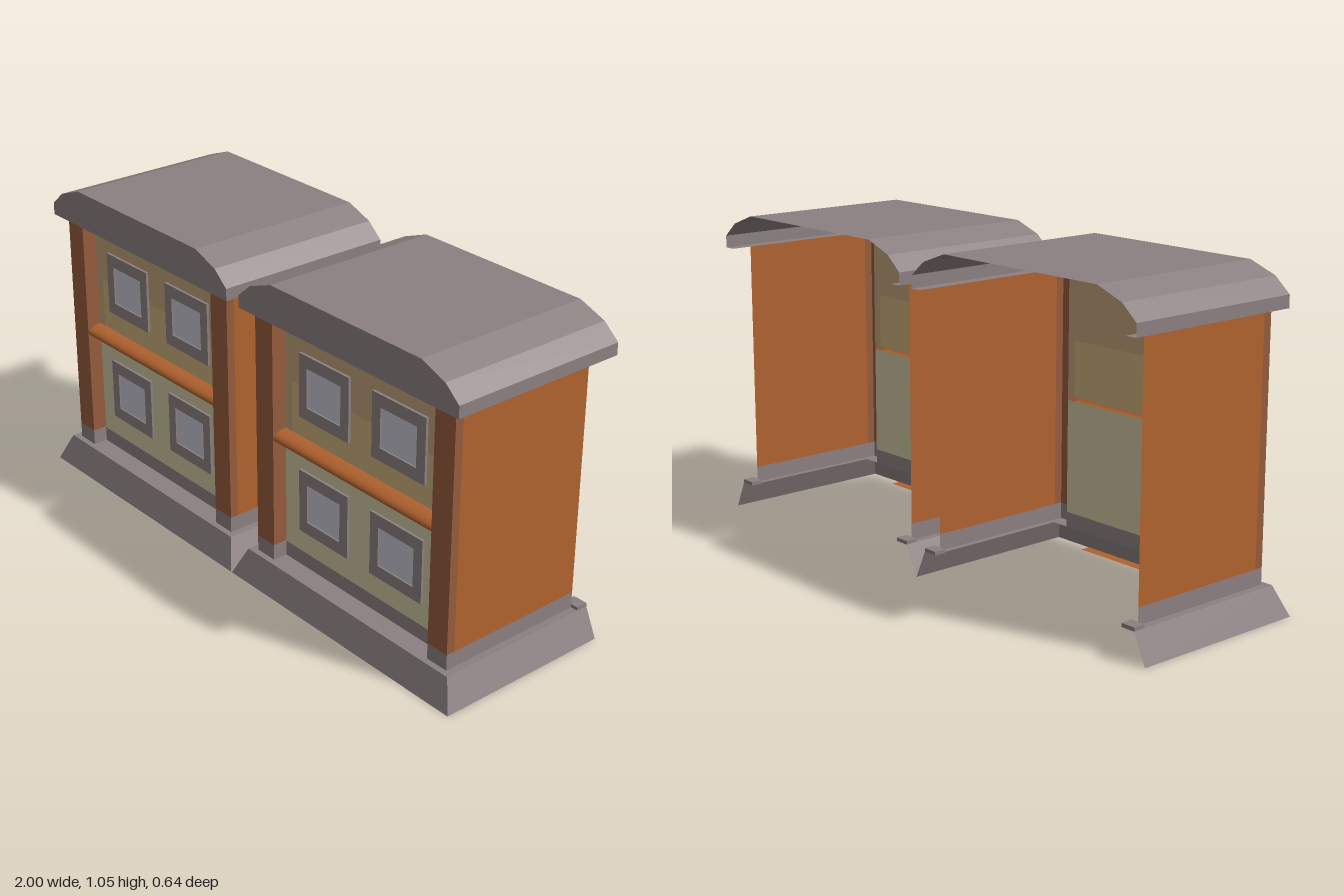
import * as THREE from 'three';

const mat = (name, color) => new THREE.MeshStandardMaterial({ name, color, side: THREE.DoubleSide });

// Flat-shaded sheet stretched between two matching polylines.
function ribbon(a, b) {
  const pos = [];
  for (let i = 0; i < a.length - 1; i++) {
    pos.push(...a[i], ...b[i], ...b[i + 1], ...a[i], ...b[i + 1], ...a[i + 1]);
  }
  const g = new THREE.BufferGeometry();
  g.setAttribute('position', new THREE.Float32BufferAttribute(pos, 3));
  g.computeVertexNormals();
  return g;
}

// Upright sheet facing the front.
function panel(x0, x1, y0, y1, z) {
  return new THREE.PlaneGeometry(x1 - x0, y1 - y0).translate((x0 + x1) / 2, (y0 + y1) / 2, z);
}

export function createModel() {
  const stone = mat('stoneGrey', 0x8c8081);
  const orange = mat('orangeBrick', 0xb1622f);
  const brown = mat('pillarBrown', 0x955b3d);
  const tan = mat('shadedTan', 0xbda077);
  const sand = mat('sand', 0xcaae7a);
  const cream = mat('paleCream', 0xcbc59f);
  const glass = mat('windowGlass', 0xc2c3ce);

  const WALL = 0.215, FRONT = 0.265, BACK = -0.25, LOW = 0.095, BAND = 0.148, EAVE = 0.925;

  function createUnit() {
    const unit = new THREE.Group();
    const add = (name, geo, material) => {
      const m = new THREE.Mesh(geo, material);
      m.name = name;
      unit.add(m);
      return m;
    };

    // Sloped skirt, open at the back and underneath, with a narrow ledge on top
    const ring = (x, y, zf, zb) => [[-x, y, zb], [-x, y, zf], [x, y, zf], [x, y, zb]];
    const foot = ring(0.498, 0, 0.32, -0.29);
    const shoulder = ring(0.455, LOW, 0.285, -0.29);
    add('baseSkirt', ribbon(foot, shoulder), stone);
    add('baseLedge', ribbon(shoulder, ring(0.41, LOW, WALL, -0.29)), stone);
    add('baseUnderStrip', new THREE.PlaneGeometry(0.7, 0.035).rotateX(-Math.PI / 2)
      .translate(0, 0.002, 0.3), orange);

    for (const s of [-1, 1]) {
      // Side wall, with a stone band at the bottom
      const side = (y0, y1, z0, z1) => ribbon(
        [[s * 0.43, y0, z0], [s * 0.43, y0, z1]], [[s * 0.43, y1, z0], [s * 0.43, y1, z1]]);
      add('sideWall', side(BAND, EAVE, BACK, 0.237), orange);
      add('sideWallBand', side(LOW, BAND, BACK, 0.237), stone);

      // Folded corner pillar returning to the recessed front wall
      const fold = (y) => [[0.43, 0.237], [0.43, FRONT], [0.35, FRONT], [0.35, WALL]]
        .map(([x, z]) => [s * x, y, z]);
      add('pillar', ribbon(fold(BAND), fold(EAVE)), brown);
      add('pillarBand', ribbon(fold(LOW), fold(BAND)), stone);

      // Small block closing the ledge behind the wall
      add('ledgeEnd', new THREE.BoxGeometry(0.05, 0.012, 0.04)
        .translate(s * 0.43, 0.1, -0.27), stone);

      // Tan edge strips beside the sand field
      add('wallEdge', panel(s > 0 ? 0.32 : -0.35, s > 0 ? 0.35 : -0.32, 0.53, 0.715, WALL), tan);

      // Eave underside
      add('eaveUnderside', ribbon(
        [[s * 0.47, EAVE, 0.295], [s * 0.47, EAVE, -0.32]],
        [[s * 0.43, EAVE, 0.295], [s * 0.43, EAVE, -0.32]]), stone);

      // Framed windows on both floors
      for (const y of [0.33, 0.722]) {
        const x = s * 0.1625;
        const frame = new THREE.Shape();
        frame.moveTo(-0.112, -0.106).lineTo(0.112, -0.106).lineTo(0.112, 0.106).lineTo(-0.112, 0.106);
        const hole = new THREE.Path();
        hole.moveTo(-0.076, -0.065).lineTo(-0.076, 0.065).lineTo(0.076, 0.065).lineTo(0.076, -0.065);
        frame.holes.push(hole);
        add('windowFrame', new THREE.ExtrudeGeometry(frame, { depth: 0.009, bevelEnabled: false })
          .translate(x, y, WALL + 0.001), stone);
        add('windowPane', panel(x - 0.076, x + 0.076, y - 0.065, y + 0.065, WALL + 0.004), glass);
      }
    }

    // Recessed front wall in colour fields
    add('wallBand', panel(-0.35, 0.35, LOW, BAND - 0.003, WALL), stone);
    add('lowerWall', panel(-0.35, 0.35, BAND - 0.003, 0.517, WALL), cream);
    add('upperWall', panel(-0.32, 0.32, 0.53, 0.715, WALL), sand);
    add('topWall', panel(-0.35, 0.35, 0.715, EAVE, WALL), tan);

    // Half-round rail between the floors
    add('floorRail', new THREE.CylinderGeometry(0.0225, 0.0225, 0.7, 10, 1, true, -Math.PI / 2, Math.PI)
      .rotateZ(Math.PI / 2).scale(1, 1, 2.2).translate(0, 0.523, WALL), orange);

    // Faceted roof shell, closed at the front only
    const half = [[0.47, EAVE], [0.47, 0.965], [0.415, 1.012], [0.32, 1.047]];
    const arch = [...half.map(([x, y]) => [-x, y]), ...half.slice().reverse()];
    const at = (z) => arch.map(([x, y]) => [x, y, z]);
    add('roofShell', ribbon(at(0.295), at(-0.32)), stone);
    const gable = new THREE.Shape(arch.map(([x, y]) => new THREE.Vector2(x, y)));
    add('roofFront', new THREE.ShapeGeometry(gable).translate(0, 0, 0.295), stone);
    add('roofFrontUnderside', ribbon(
      [[-0.43, EAVE, 0.295], [0.43, EAVE, 0.295]],
      [[-0.43, EAVE, WALL], [0.43, EAVE, WALL]]), stone);
    return unit;
  }

  const model = new THREE.Group();
  model.name = 'twinHouses';
  for (const [name, x] of [['rightHouse', -0.5], ['leftHouse', 0.5]]) {
    const unit = createUnit();
    unit.name = name;
    unit.position.x = x;
    model.add(unit);
  }
  return model;
}
